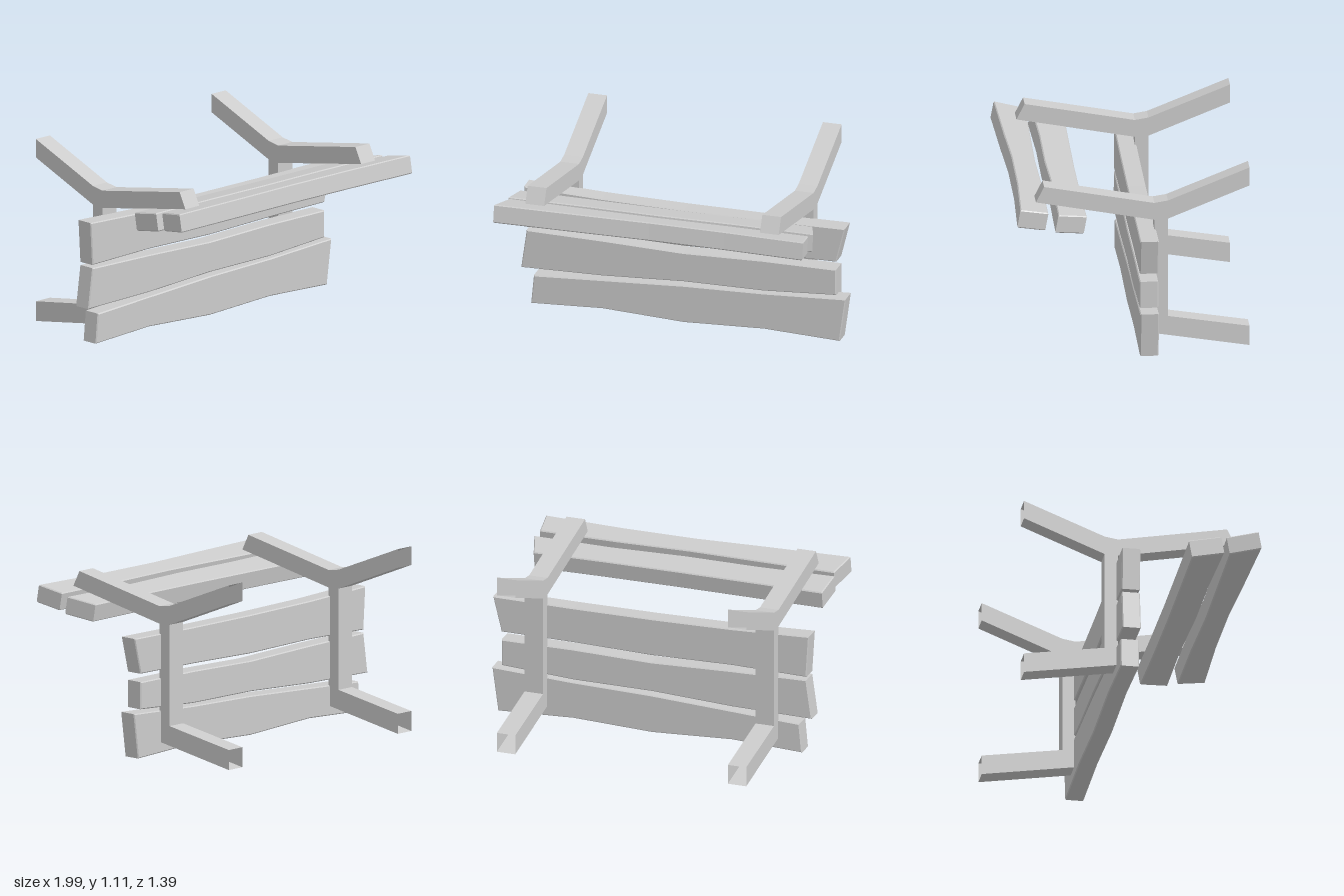
import * as THREE from 'three';

const material = new THREE.MeshStandardMaterial({ color: 0xcccccc, flatShading: true });
const openMaterial = new THREE.MeshStandardMaterial({ color: 0xcccccc, flatShading: true, side: THREE.DoubleSide });

const toShape = (points) => new THREE.Shape(points.map(([x, y]) => new THREE.Vector2(x, y)));

// Rough-cut board: an uneven outline with a small chamfer, thickness along z
function makePlank(name, outline, thickness = 0.11) {
  const bevel = 0.006;
  const geometry = new THREE.ExtrudeGeometry(toShape(outline), {
    depth: thickness - 2 * bevel,
    bevelEnabled: true,
    bevelSegments: 1,
    bevelSize: bevel,
    bevelOffset: -bevel,
    bevelThickness: bevel,
  });
  geometry.translate(0, 0, bevel);
  const mesh = new THREE.Mesh(geometry, material);
  mesh.name = name;
  return mesh;
}

// Hollow bent support, drawn as (z, y), with its two rear ends left open
function makeSupport(name, centreX) {
  const width = 0.115;
  const rear = -0.69;
  const outline = [
    [0.519, 1.02], [-0.13, 0.902], [-0.21, 0.915], [rear, 1.107],
    [rear, 0.995], [-0.21, 0.802], [-0.21, 0.195], [rear, 0.12],
    [rear, 0], [-0.13, 0.09], [-0.13, 0.797], [0.567, 0.925],
  ];
  const solid = new THREE.ExtrudeGeometry(toShape(outline), { depth: width, bevelEnabled: false });
  const p = solid.attributes.position;
  const kept = [];
  for (let i = 0; i < p.count; i += 3) {
    const isEnd = [0, 1, 2].every((k) => Math.abs(p.getX(i + k) - rear) < 1e-4);
    if (isEnd) continue;
    for (let k = 0; k < 3; k++) kept.push(p.getX(i + k), p.getY(i + k), p.getZ(i + k));
  }
  const geometry = new THREE.BufferGeometry();
  geometry.setAttribute('position', new THREE.Float32BufferAttribute(kept, 3));
  geometry.rotateY(-Math.PI / 2);
  geometry.translate(centreX + width / 2, 0, 0);
  geometry.computeVertexNormals();
  const mesh = new THREE.Mesh(geometry, openMaterial);
  mesh.name = name;
  return mesh;
}

export function createModel() {
  const model = new THREE.Group();
  model.name = 'bench';

  // Pair of bent supports
  model.add(makeSupport('leftSupport', 0.71), makeSupport('rightSupport', -0.73));

  // Upright boards, drawn as (x, y)
  const uprights = {
    upperPlank: [
      [-0.964, 0.502], [-0.5, 0.513], [0, 0.505], [0.49, 0.518], [0.937, 0.523],
      [0.99, 0.74], [0.49, 0.735], [0, 0.735], [-0.5, 0.742], [-0.98, 0.76],
    ],
    middlePlank: [
      [-0.998, 0.24], [-0.5, 0.25], [0, 0.277], [0.49, 0.281], [0.937, 0.31],
      [0.937, 0.473], [0.49, 0.473], [0, 0.46], [-0.5, 0.475], [-0.964, 0.483],
    ],
    lowerPlank: [
      [-0.937, 0.018], [-0.5, 0.04], [0, 0.016], [0.49, 0.037], [0.958, 0.018],
      [0.995, 0.29], [0.49, 0.264], [0, 0.25], [-0.5, 0.222], [-0.92, 0.198],
    ],
  };
  for (const [name, outline] of Object.entries(uprights)) {
    const plank = makePlank(name, outline);
    plank.position.z = -0.14;
    model.add(plank);
  }

  // Sloping boards, drawn as (x, distance forward along the slope)
  const sloping = new THREE.Group();
  sloping.name = 'slopingPlanks';
  sloping.position.set(0, 0.913, 0.5);
  sloping.rotation.x = Math.PI / 2 - 0.18;
  sloping.add(
    makePlank('frontSlopingPlank', [
      [-0.908, -0.005], [-0.45, 0.003], [0, 0.011], [0.46, 0.003], [0.93, 0.006],
      [0.95, 0.175], [0.46, 0.155], [0, 0.152], [-0.4, 0.167], [-0.945, 0.182],
    ]),
    makePlank('rearSlopingPlank', [
      [-0.913, -0.234], [-0.45, -0.228], [0, -0.223], [0.46, -0.223], [0.886, -0.228],
      [0.943, -0.053], [0.46, -0.06], [0, -0.046], [-0.45, -0.051], [-0.924, -0.04],
    ]),
  );
  model.add(sloping);

  return model;
}
